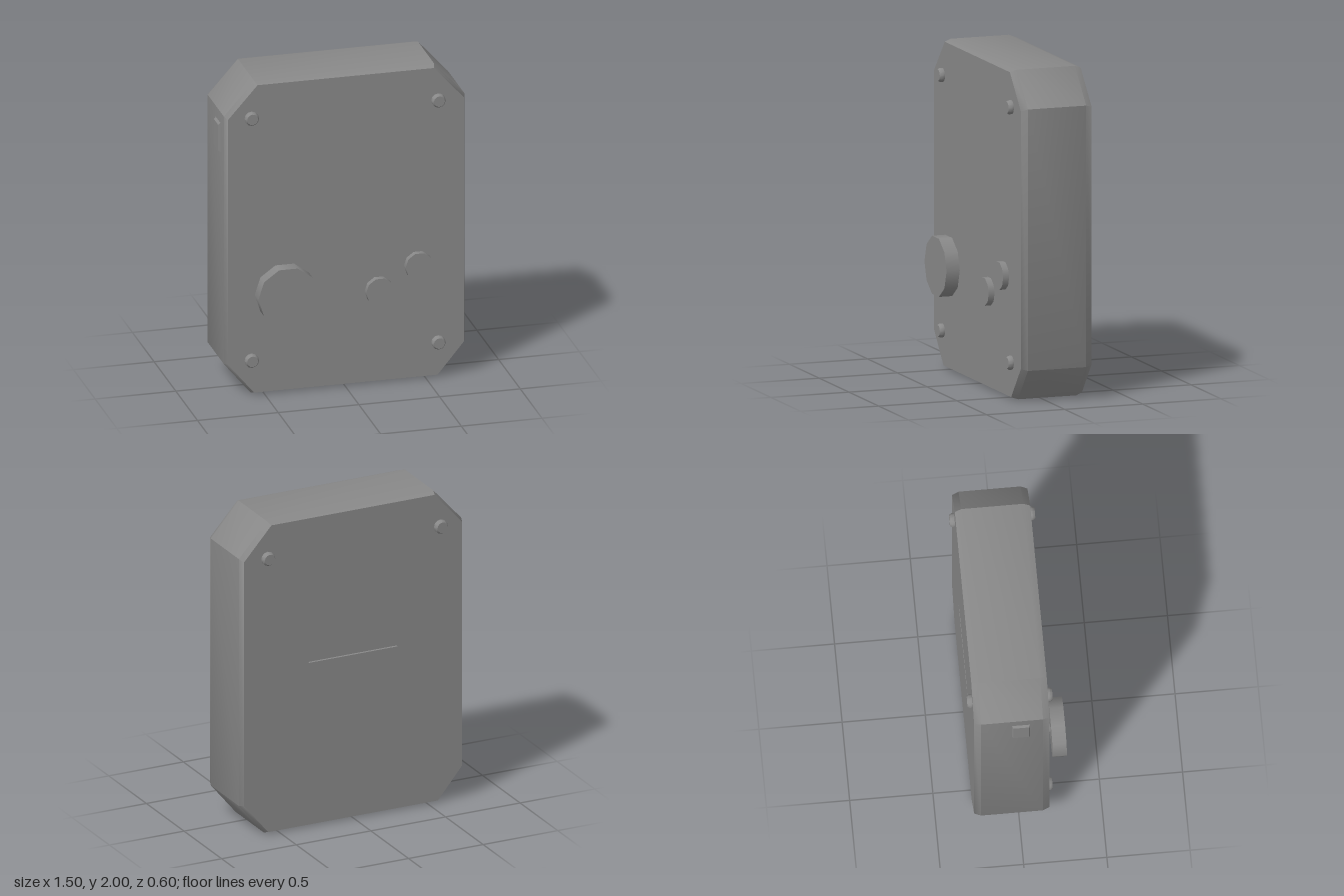
import * as THREE from 'three';
import { toCreasedNormals } from 'three/addons/utils/BufferGeometryUtils.js';

const darkGrey = new THREE.MeshStandardMaterial({ color: 0x888888 });

function add(parent, name, geometry, x = 0, y = 0, z = 0) {
  const mesh = new THREE.Mesh(geometry, darkGrey);
  mesh.name = name;
  mesh.position.set(x, y, z);
  parent.add(mesh);
  return mesh;
}

// Walls joining loops of [x, y] points; each section is { z, loop }
function loft(sections) {
  const pos = [];
  for (let s = 0; s < sections.length - 1; s++) {
    const lo = sections[s], hi = sections[s + 1], n = lo.loop.length;
    for (let i = 0; i < n; i++) {
      const j = (i + 1) % n;
      const a = [...lo.loop[i], lo.z], b = [...lo.loop[j], lo.z];
      const c = [...hi.loop[j], hi.z], d = [...hi.loop[i], hi.z];
      pos.push(...a, ...b, ...c, ...a, ...c, ...d);
    }
  }
  const g = new THREE.BufferGeometry();
  g.setAttribute('position', new THREE.Float32BufferAttribute(pos, 3));
  // Soft where the lower corners meet the sides, sharp at the other corners
  return toCreasedNormals(g, 0.715);
}

const toPoints = loop => loop.map(p => new THREE.Vector2(...p));

// Cylinder along z with corners on the x axis
const disc = (r, depth, sides = 10) =>
  new THREE.CylinderGeometry(r, r, depth, sides, 1, false, Math.PI / 2).rotateX(Math.PI / 2);

// Screw head with a bevelled rim, rising along +z
function screwGeometry() {
  const profile = [[0.043, 0], [0.043, 0.016], [0.034, 0.03], [0, 0.03]];
  const g = new THREE.LatheGeometry(toPoints(profile), 12).rotateX(Math.PI / 2);
  return toCreasedNormals(g, 0.6);
}

export function createModel() {
  const model = new THREE.Group();
  model.name = 'controlBox';
  const front = 0.18, back = -0.273;

  // Case: eight-sided outline with softly tapered front and back rims
  const body = new THREE.Group();
  body.name = 'case';
  body.position.x = 0.005;
  model.add(body);
  const outer = [
    [0.579, 0], [0.745, 0.2], [0.745, 1.79], [0.557, 2],
    [-0.557, 2], [-0.745, 1.79], [-0.745, 0.2], [-0.579, 0],
  ];
  const inner = outer.map(([x, y]) => [x * 0.982, 1 + (y - 1) * 0.986]);
  add(body, 'caseSides', loft([
    { z: back, loop: inner }, { z: back + 0.04, loop: outer },
    { z: front - 0.04, loop: outer }, { z: front, loop: inner },
  ]));
  add(body, 'frontPanel', new THREE.ShapeGeometry(new THREE.Shape(toPoints(inner))), 0, 0, front);

  // Back panel with a shallow trapezoid slot
  const slot = [[0.3, 1.055], [0.225, 1.117], [-0.225, 1.117], [-0.3, 1.055]];
  const backShape = new THREE.Shape(toPoints(inner));
  backShape.holes.push(new THREE.Path(toPoints(slot)));
  const slotFloor = back + 0.016;
  add(body, 'backPanel', new THREE.ShapeGeometry(backShape).rotateY(Math.PI), 0, 0, back);
  add(body, 'slotWalls', loft([{ z: slotFloor, loop: slot }, { z: back, loop: slot }]));
  add(body, 'slotFloor',
    new THREE.ShapeGeometry(new THREE.Shape(toPoints(slot))).rotateY(Math.PI), 0, 0, slotFloor);

  // Screws: four on the front, two at the top of the back
  const screw = screwGeometry();
  for (const x of [-0.58, 0.577]) {
    for (const y of [0.224, 1.778]) add(model, 'frontScrew', screw, x, y, front);
    add(model, 'backScrew', screw, x, 1.778, back).rotation.y = Math.PI;
  }

  // Dial on a thin stem
  add(model, 'dialStem', disc(0.03, 0.05), -0.383, 0.655, front + 0.02);
  add(model, 'dial', disc(0.186, 0.085), -0.383, 0.655, 0.2575);

  // Two push buttons
  for (const [x, y] of [[0.208, 0.597], [0.452, 0.735]]) {
    add(model, 'button', disc(0.087, 0.045), x, y, front + 0.0155);
  }

  // Side switch: low block tapering outwards
  const block = new THREE.BoxGeometry(0.025, 0.21, 0.12);
  const p = block.attributes.position;
  for (let i = 0; i < p.count; i++) {
    if (p.getX(i) < 0) p.setXYZ(i, p.getX(i), p.getY(i) * 0.78, p.getZ(i) * 0.8);
  }
  add(model, 'sideSwitch', toCreasedNormals(block, 0.3), -0.7405, 1.625, 0.008);

  return model;
}
